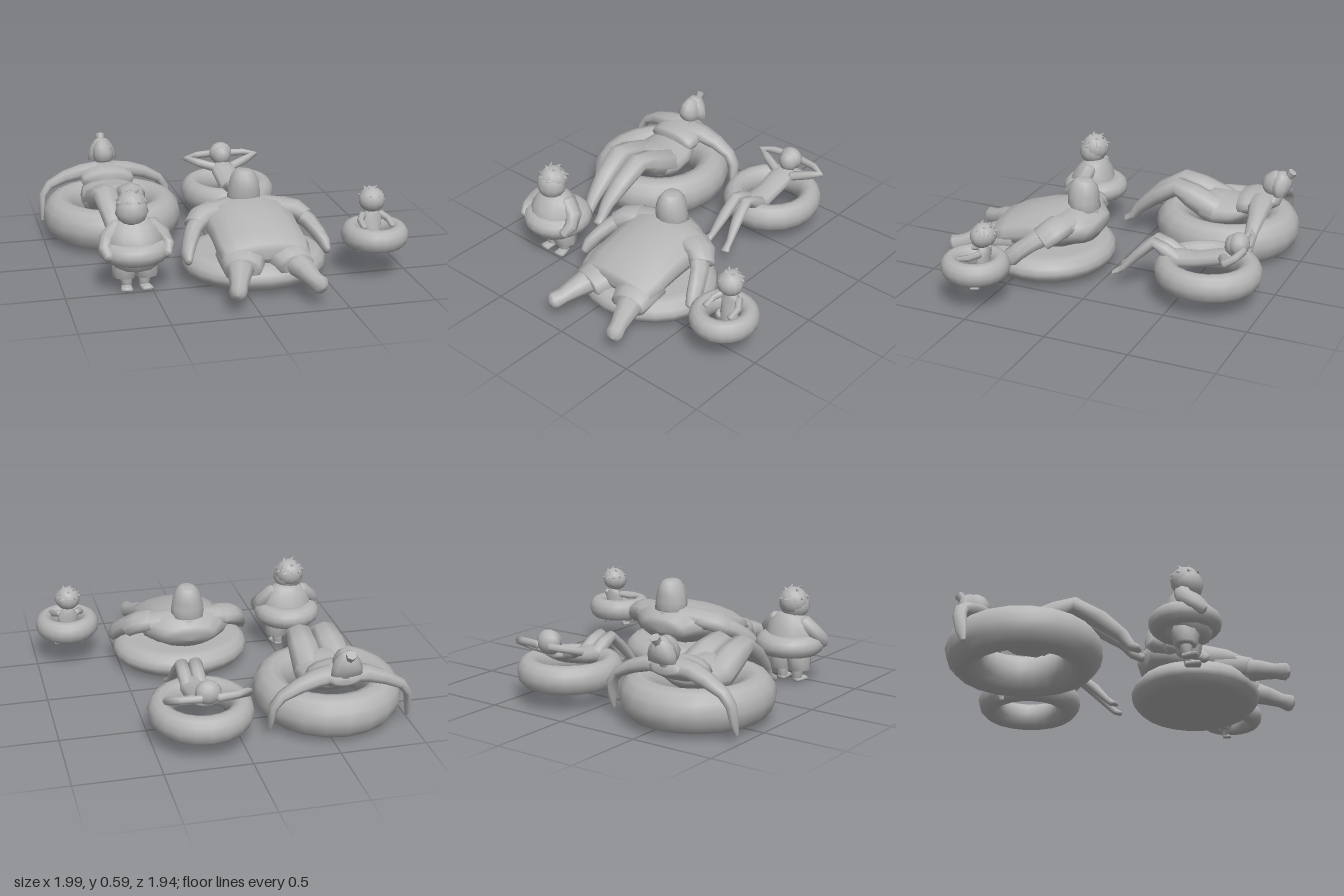
import * as THREE from 'three';

const grey = new THREE.MeshStandardMaterial({ color: 0xb4b4b4 });
grey.name = 'plain grey';
const X = [1, 0, 0], Z = [0, 0, 1];

function add(group, name, geo, pos = [0, 0, 0], scale = [1, 1, 1], rot = [0, 0, 0]) {
  const m = new THREE.Mesh(geo, grey);
  m.name = name;
  m.position.set(...pos);
  m.scale.set(...scale);
  m.rotation.set(...rot);
  group.add(m);
  return m;
}

// Closed smooth body through elliptical sections [x, y, z, halfWidth, halfHeight];
// halfWidth lies along ref, and both ends are domed by the given amount.
function loft(group, name, secs, ref = X, n = 10, dome = 0.6) {
  const C = secs.map(s => new THREE.Vector3(s[0], s[1], s[2])), rings = [];
  C.forEach((c, i) => {
    const last = C.length - 1, [, , , w, h] = secs[i];
    const t = C[Math.min(i + 1, last)].clone().sub(C[Math.max(i - 1, 0)]).normalize();
    const side = new THREE.Vector3(...ref);
    side.addScaledVector(t, -side.dot(t)).normalize();
    const up = t.clone().cross(side);
    const ring = (k, off) => {
      const r = [], o = c.clone().addScaledVector(t, off * dome * Math.min(w, h));
      for (let j = 0; j < n; j++) {
        const a = j / n * Math.PI * 2;
        r.push(o.clone().addScaledVector(side, Math.cos(a) * w * k).addScaledVector(up, Math.sin(a) * h * k));
      }
      rings.push(r);
    };
    if (i === 0) { ring(0.001, -1); ring(0.7, -0.67); }
    ring(1, 0);
    if (i === last) { ring(0.7, 0.67); ring(0.001, 1); }
  });
  const idx = [];
  for (let i = 0; i < rings.length - 1; i++) for (let j = 0; j < n; j++) {
    const a = i * n + j, b = i * n + (j + 1) % n;
    idx.push(a, b, a + n, b, b + n, a + n);
  }
  const g = new THREE.BufferGeometry().setFromPoints(rings.flat());
  g.setIndex(idx);
  g.computeVertexNormals();
  return add(group, name, g);
}

// A limb and its mirror image about x = cx
function pair(group, name, cx, secs, ref = X, n = 8, dome = 0.6) {
  loft(group, name + 'Right', secs, ref, n, dome);
  loft(group, name + 'Left', secs.map(s => [2 * cx - s[0], ...s.slice(1)]), ref, n, dome);
}

function swimRing(group, pos, R, r, h, zs = 1) {
  const g = new THREE.TorusGeometry(R, r, 12, 20).rotateX(Math.PI / 2);
  add(group, 'swimRing', g, pos, [1, h / r, zs]);
}

const ball = (group, name, pos, s) => add(group, name, new THREE.SphereGeometry(1, 12, 9), pos, s);

// Cap of hair with broad, half-sunken locks around the crown and fringe
function messyHair(group, [x, y, z], r) {
  add(group, 'hairCap', new THREE.SphereGeometry(r, 12, 7, 0, Math.PI * 2, 0, Math.PI * 0.6),
    [x, y, z], [1, 1, 1], [-0.4, 0, 0]);
  const up = new THREE.Vector3(0, 1, 0);
  for (const [count, tilt, lift] of [[5, 0.5, 0.1], [9, 1.15, -0.45]]) {
    for (let i = 0; i < count; i++) {
      const a = (i + 0.5) / count * Math.PI * 2;
      const d = new THREE.Vector3(Math.sin(tilt) * Math.cos(a), Math.cos(tilt), Math.sin(tilt) * Math.sin(a) - 0.2).normalize();
      const sweep = d.clone().add(new THREE.Vector3(-Math.sin(a) * 0.8, lift, Math.cos(a) * 0.8)).normalize();
      const m = add(group, 'hairLock', new THREE.ConeGeometry(r * 0.42, r * 0.95, 6),
        [x + d.x * r * 0.8, y + d.y * r * 0.8, z + d.z * r * 0.8]);
      m.quaternion.setFromUnitVectors(up, sweep);
    }
  }
}

function recliningWoman() {
  const g = new THREE.Group(), cx = -0.57;
  g.name = 'recliningWoman';
  swimRing(g, [-0.567, 0.145, -0.5], 0.325, 0.104, 0.125, 1.045);
  loft(g, 'chest', [[cx, 0.36, -0.82, 0.1, 0.04], [cx, 0.345, -0.75, 0.15, 0.06],
    [cx, 0.33, -0.66, 0.172, 0.075], [cx, 0.32, -0.605, 0.165, 0.07]], X, 14, 0.3);
  loft(g, 'hips', [[cx, 0.285, -0.64, 0.16, 0.06], [cx, 0.255, -0.57, 0.182, 0.08],
    [cx, 0.245, -0.46, 0.19, 0.1], [cx, 0.265, -0.37, 0.175, 0.09]], X, 14, 0.4);
  pair(g, 'leg', cx, [[-0.66, 0.25, -0.45, 0.098, 0.09], [-0.653, 0.325, -0.29, 0.092, 0.075],
    [-0.648, 0.365, -0.19, 0.08, 0.055], [-0.638, 0.28, -0.05, 0.066, 0.055],
    [-0.628, 0.18, 0.07, 0.046, 0.04], [-0.625, 0.11, 0.12, 0.034, 0.03], [-0.635, 0.085, 0.165, 0.035, 0.022]]);
  pair(g, 'arm', cx, [[-0.62, 0.36, -0.74, 0.085, 0.05], [-0.72, 0.35, -0.75, 0.072, 0.046],
    [-0.82, 0.32, -0.765, 0.055, 0.04], [-0.92, 0.27, -0.77, 0.042, 0.03], [-0.965, 0.21, -0.765, 0.04, 0.024],
    [-0.975, 0.12, -0.75, 0.035, 0.018], [-0.98, 0.05, -0.735, 0.015, 0.01]], Z);
  // Head with flared, swept-back hair and a top knot
  loft(g, 'neck', [[cx, 0.36, -0.78, 0.05, 0.045], [cx, 0.43, -0.81, 0.045, 0.045]]);
  loft(g, 'head', [[cx, 0.405, -0.775, 0.055, 0.055], [cx, 0.44, -0.785, 0.066, 0.08],
    [cx, 0.48, -0.8, 0.06, 0.07], [cx, 0.515, -0.82, 0.04, 0.045]], X, 10, 0.3);
  loft(g, 'hair', [[cx, 0.4, -0.835, 0.092, 0.04], [cx, 0.445, -0.835, 0.088, 0.06],
    [cx, 0.49, -0.84, 0.07, 0.06], [cx, 0.525, -0.85, 0.042, 0.042]], X, 10, 0.25);
  add(g, 'topKnot', new THREE.CylinderGeometry(0.03, 0.02, 0.07, 6), [cx, 0.518, -0.88], [1, 1, 1], [-0.6, 0, 0]);
  return g;
}

function recliningGirl() {
  const g = new THREE.Group(), cx = 0.217;
  g.name = 'recliningGirl';
  swimRing(g, [cx, 0.185, -0.66], 0.232, 0.068, 0.085, 1.05);
  loft(g, 'torso', [[cx, 0.31, -0.8, 0.075, 0.03], [cx, 0.285, -0.72, 0.083, 0.045],
    [cx, 0.25, -0.6, 0.077, 0.045], [cx, 0.235, -0.5, 0.083, 0.052], [cx, 0.24, -0.44, 0.083, 0.05]]);
  pair(g, 'leg', cx, [[0.178, 0.24, -0.48, 0.044, 0.045], [0.178, 0.29, -0.4, 0.042, 0.04],
    [0.177, 0.32, -0.34, 0.04, 0.03], [0.167, 0.23, -0.24, 0.035, 0.03],
    [0.152, 0.14, -0.16, 0.022, 0.02], [0.147, 0.115, -0.13, 0.022, 0.02], [0.14, 0.103, -0.1, 0.028, 0.012]]);
  // Arms folded behind the head
  pair(g, 'arm', cx, [[0.155, 0.31, -0.77, 0.03, 0.03], [0.06, 0.335, -0.81, 0.027, 0.027],
    [-0.01, 0.36, -0.84, 0.024, 0.026], [0.06, 0.37, -0.87, 0.022, 0.022], [0.17, 0.37, -0.885, 0.024, 0.02]], [0, 1, 0]);
  loft(g, 'neck', [[cx, 0.31, -0.78, 0.028, 0.028], [cx, 0.37, -0.82, 0.028, 0.028]]);
  ball(g, 'head', [cx, 0.375, -0.82], [0.062, 0.068, 0.063]);
  ball(g, 'hair', [cx, 0.385, -0.84], [0.074, 0.07, 0.06]);
  return g;
}

function largeMan() {
  const g = new THREE.Group(), cx = 0.115;
  g.name = 'largeMan';
  // Solid round float
  const pts = [[0, 0.02], [0.33, 0.022], [0.375, 0.035], [0.41, 0.07], [0.42, 0.1],
    [0.41, 0.135], [0.375, 0.17], [0.32, 0.18], [0, 0.17]].map(p => new THREE.Vector2(...p));
  add(g, 'roundFloat', new THREE.LatheGeometry(pts, 24), [cx, 0, 0.385], [1, 1, 0.91]);
  loft(g, 'shirt', [[cx, 0.28, 0.09, 0.17, 0.09], [cx, 0.31, 0.15, 0.25, 0.11], [cx, 0.3, 0.25, 0.275, 0.13],
    [cx, 0.27, 0.42, 0.265, 0.13], [cx, 0.24, 0.58, 0.27, 0.105], [cx, 0.215, 0.66, 0.255, 0.085]], X, 14, 0.4);
  loft(g, 'shoulders', [[-0.13, 0.34, 0.23, 0.09, 0.06], [cx, 0.365, 0.18, 0.11, 0.065], [0.36, 0.34, 0.23, 0.09, 0.06]], Z);
  // Wide sleeves and shorts with blunt hems
  pair(g, 'sleeve', cx, [[-0.09, 0.355, 0.22, 0.1, 0.055], [-0.17, 0.335, 0.25, 0.09, 0.06],
    [-0.215, 0.3, 0.295, 0.078, 0.058]], Z, 10, 0.1);
  pair(g, 'shortsLeg', cx, [[-0.01, 0.2, 0.55, 0.14, 0.095], [-0.025, 0.185, 0.66, 0.13, 0.09],
    [-0.04, 0.17, 0.735, 0.108, 0.08]], X, 10, 0.1);
  pair(g, 'leg', cx, [[-0.045, 0.18, 0.7, 0.085, 0.07], [-0.075, 0.16, 0.8, 0.064, 0.058],
    [-0.1, 0.135, 0.88, 0.05, 0.045], [-0.12, 0.12, 0.935, 0.05, 0.055]]);
  pair(g, 'arm', cx, [[-0.17, 0.33, 0.26, 0.07, 0.052], [-0.235, 0.28, 0.34, 0.058, 0.048],
    [-0.27, 0.23, 0.41, 0.055, 0.042], [-0.29, 0.19, 0.455, 0.055, 0.038], [-0.295, 0.155, 0.5, 0.03, 0.022]], Z);
  loft(g, 'head', [[cx - 0.005, 0.38, 0.16, 0.1, 0.09], [cx - 0.005, 0.44, 0.175, 0.1, 0.092],
    [cx - 0.005, 0.49, 0.175, 0.09, 0.095], [cx - 0.005, 0.54, 0.172, 0.076, 0.082],
    [cx - 0.005, 0.57, 0.17, 0.054, 0.06]], X, 12, 0.2);
  return g;
}

function standingBoy() {
  const g = new THREE.Group(), cx = -0.59;
  g.name = 'standingBoy';
  swimRing(g, [cx, 0.24, 0.42], 0.14, 0.067, 0.065, 1.0);
  loft(g, 'torso', [[cx, 0.17, 0.43, 0.14, 0.13], [cx, 0.24, 0.445, 0.165, 0.16],
    [cx, 0.32, 0.43, 0.155, 0.13], [cx, 0.375, 0.42, 0.13, 0.1], [cx, 0.41, 0.42, 0.09, 0.07]], X, 12, 0.3);
  // Shorts, shins and feet
  pair(g, 'shortsLeg', cx, [[-0.65, 0.18, 0.43, 0.075, 0.085], [-0.655, 0.08, 0.43, 0.066, 0.068]], X, 8, 0.1);
  pair(g, 'shin', cx, [[-0.645, 0.1, 0.43, 0.04, 0.038], [-0.64, 0.03, 0.43, 0.03, 0.03]]);
  pair(g, 'foot', cx, [[-0.64, 0.018, 0.415, 0.028, 0.018], [-0.65, 0.016, 0.49, 0.038, 0.015]]);
  pair(g, 'arm', cx, [[-0.685, 0.38, 0.42, 0.05, 0.045], [-0.75, 0.32, 0.44, 0.052, 0.042],
    [-0.77, 0.27, 0.49, 0.045, 0.037], [-0.75, 0.235, 0.54, 0.034, 0.03]], Z);
  loft(g, 'head', [[-0.605, 0.42, 0.445, 0.075, 0.07], [-0.605, 0.46, 0.445, 0.095, 0.085],
    [-0.605, 0.5, 0.44, 0.085, 0.08], [-0.605, 0.54, 0.43, 0.06, 0.06]], X, 12, 0.4);
  messyHair(g, [-0.605, 0.495, 0.43], 0.086);
  return g;
}

function smallChild() {
  const g = new THREE.Group(), cx = 0.8;
  g.name = 'smallChild';
  swimRing(g, [cx, 0.245, 0.53], 0.14, 0.055, 0.068, 1.03);
  loft(g, 'torso', [[cx, 0.2, 0.49, 0.06, 0.045], [cx, 0.27, 0.48, 0.055, 0.04],
    [cx, 0.335, 0.47, 0.065, 0.035], [cx, 0.37, 0.47, 0.03, 0.028]]);
  pair(g, 'leg', cx, [[0.755, 0.22, 0.5, 0.035, 0.035], [0.735, 0.18, 0.49, 0.024, 0.024],
    [0.728, 0.15, 0.48, 0.018, 0.018]]);
  pair(g, 'foot', cx, [[0.726, 0.144, 0.475, 0.018, 0.012], [0.72, 0.142, 0.515, 0.022, 0.01]]);
  pair(g, 'arm', cx, [[0.745, 0.345, 0.47, 0.022, 0.022], [0.715, 0.325, 0.52, 0.02, 0.02],
    [0.715, 0.308, 0.59, 0.02, 0.014]], X, 6);
  ball(g, 'head', [0.795, 0.435, 0.48], [0.078, 0.07, 0.068]);
  messyHair(g, [0.795, 0.44, 0.47], 0.072);
  return g;
}

export function createModel() {
  const model = new THREE.Group();
  model.name = 'bathers';
  model.add(recliningWoman(), recliningGirl(), largeMan(), standingBoy(), smallChild());
  return model;
}
